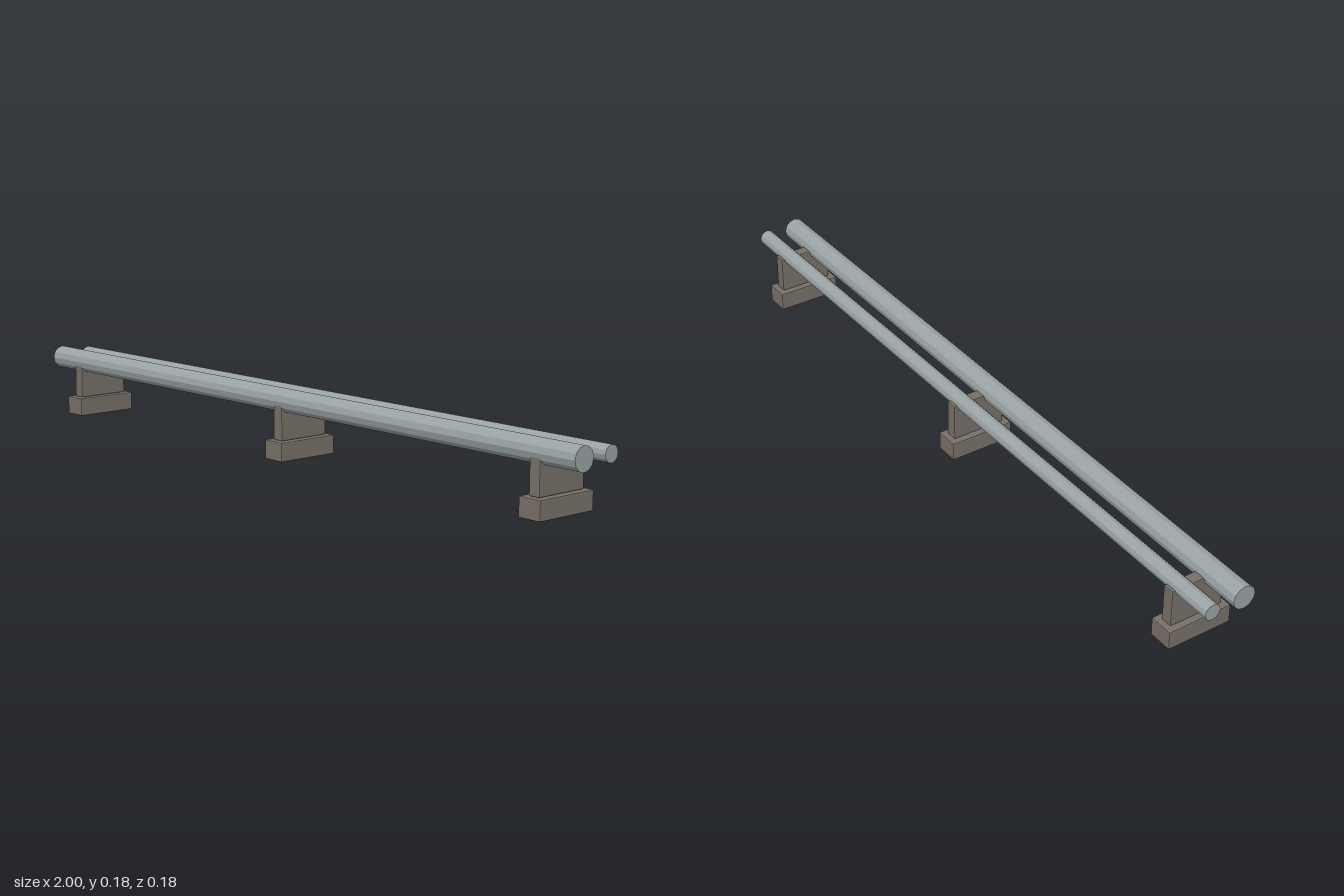
import * as THREE from 'three';
import { RoundedBoxGeometry } from 'three/addons/geometries/RoundedBoxGeometry.js';

const steel = new THREE.MeshStandardMaterial({ name: 'pipe steel', color: 0x9aa3a5, flatShading: true });
const concrete = new THREE.MeshStandardMaterial({ name: 'support concrete', color: 0x777067, flatShading: true });

// Full-length twelve-sided pipe lying along x
function pipe(name, radius, z) {
  const geo = new THREE.CylinderGeometry(radius, radius, 2, 12);
  geo.rotateZ(Math.PI / 2);
  const mesh = new THREE.Mesh(geo, steel);
  mesh.name = name;
  mesh.position.set(0, 0.151, z);
  return mesh;
}

// Block with slightly bevelled edges, spanning y0 to y1
function block(name, width, y0, y1, depth) {
  const mesh = new THREE.Mesh(new RoundedBoxGeometry(width, y1 - y0, depth, 1, 0.003), concrete);
  mesh.name = name;
  mesh.position.y = (y0 + y1) / 2;
  return mesh;
}

export function createModel() {
  const model = new THREE.Group();
  model.name = 'pipeRun';

  model.add(pipe('largePipe', 0.031, 0.046), pipe('smallPipe', 0.0215, -0.0445));

  // Three supports: a wide footing with a narrow web carrying the pipes
  for (const [name, x] of [['right', -0.88], ['middle', 0], ['left', 0.88]]) {
    const support = new THREE.Group();
    support.name = name + 'Support';
    support.position.x = x;
    support.add(block('footing', 0.066, 0, 0.05, 0.178), block('web', 0.032, 0.05, 0.15, 0.148));
    model.add(support);
  }
  return model;
}
